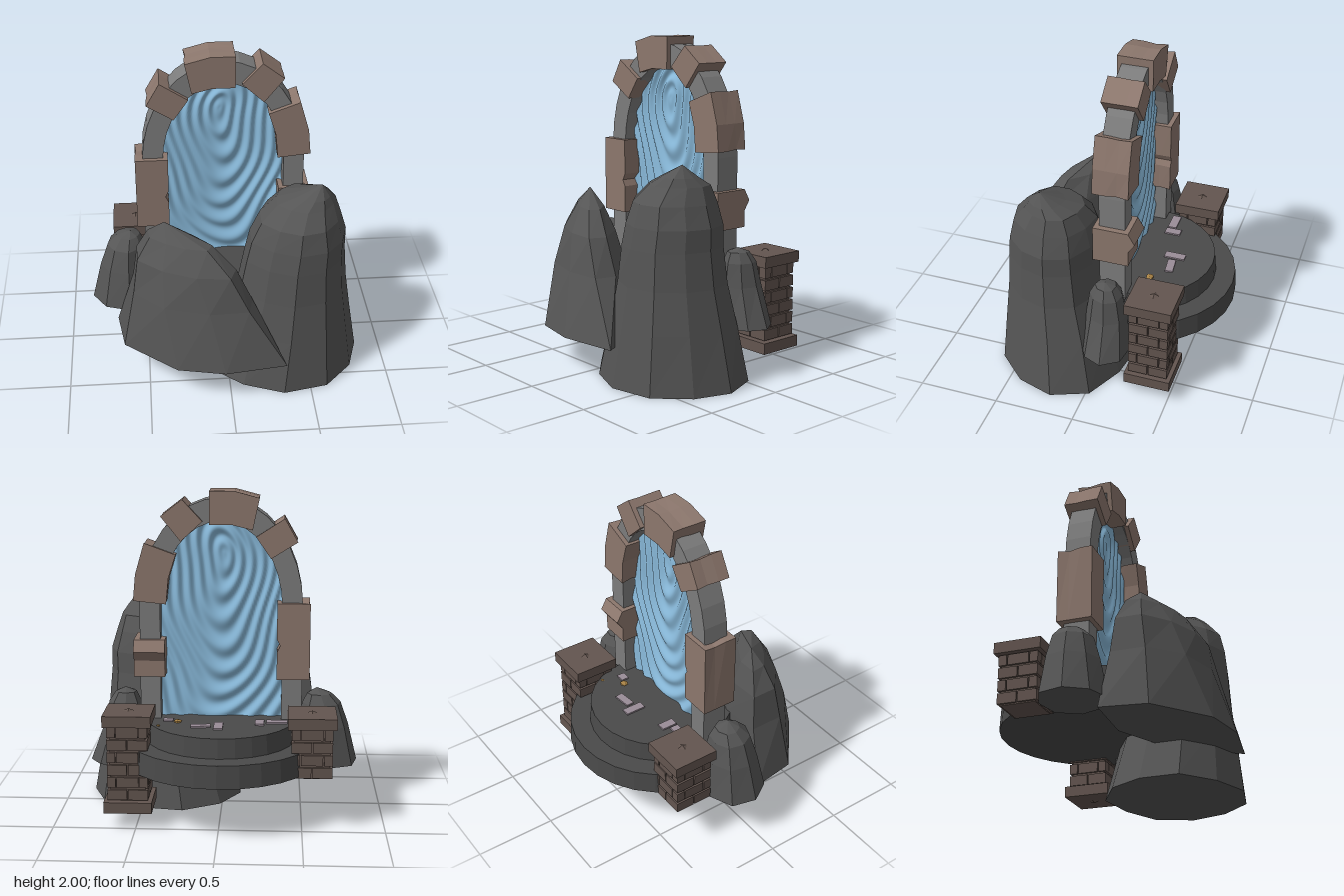
import * as THREE from 'three';

const material = (color, extra = {}) =>
  new THREE.MeshStandardMaterial({ color, flatShading: true, ...extra });
const ROCK = material(0x555555), FLOOR = material(0x4a4a4a), STONE = material(0x7c7c7c);
const BROWN = material(0x8c776d), BRICK = material(0x63554f);
const PAPER = material(0x9a8d98), GOLD = material(0xa88245);
const WATER = material(0x8abbdc, { flatShading: false, side: THREE.DoubleSide });

function add(parent, name, geometry, mat, x = 0, y = 0, z = 0) {
  const mesh = new THREE.Mesh(geometry, mat);
  mesh.name = name;
  mesh.position.set(x, y, z);
  parent.add(mesh);
  return mesh;
}

// Skin closed rings of [x, z] points, counter-clockwise from above, up to a tip
function rockGeometry(rings, tip) {
  const n = rings[0].points.length, pos = [], index = [];
  for (const { y, points } of rings) for (const [x, z] of points) pos.push(x, y, z);
  const tipId = pos.length / 3, baseId = tipId + 1, last = (rings.length - 1) * n;
  const base = rings[0].points;
  pos.push(...tip);
  pos.push(base.reduce((s, p) => s + p[0], 0) / n, rings[0].y, base.reduce((s, p) => s + p[1], 0) / n);
  for (let i = 0; i < n; i++) {
    const j = (i + 1) % n;
    for (let r = 0; r < last; r += n) index.push(r + i, r + j, r + n + j, r + i, r + n + j, r + n + i);
    index.push(tipId, last + i, last + j, baseId, j, i);
  }
  const g = new THREE.BufferGeometry();
  g.setAttribute('position', new THREE.Float32BufferAttribute(pos, 3));
  g.setIndex(index);
  g.computeVertexNormals();
  return g;
}

// Rough oval ring filling the range x0..x1, z0..z1
function oval([y, x0, x1, z0, z1], sides) {
  const points = [];
  for (let i = 0; i < sides; i++) {
    const a = (i + 0.15) / sides * Math.PI * 2, k = 1 + 0.04 * Math.sin(i * 2.4);
    points.push([(x0 + x1) / 2 + (x1 - x0) / 2 * k * Math.cos(a),
      (z0 + z1) / 2 - (z1 - z0) / 2 * k * Math.sin(a)]);
  }
  return { y, points };
}

// Arch outline: straight legs with an elliptical head
function archPoints(halfWidth, rise, foot, segments = 16) {
  const points = [new THREE.Vector2(halfWidth, foot)];
  for (let i = 0; i <= segments; i++) {
    const a = i / segments * Math.PI;
    points.push(new THREE.Vector2(halfWidth * Math.cos(a), 1.3 + rise * Math.sin(a)));
  }
  points.push(new THREE.Vector2(-halfWidth, foot));
  return points;
}

// Arch stone from its front corners, slightly worn halfway through its depth
function stoneBlock(corners) {
  const shape = new THREE.Shape(corners.map(([x, y]) => new THREE.Vector2(x, y)));
  const g = new THREE.ExtrudeGeometry(shape, { depth: 0.22, steps: 3, bevelEnabled: false });
  const p = g.attributes.position;
  for (let i = 0; i < p.count; i++) {
    const z = p.getZ(i);
    if (z < 0.01 || z > 0.1) continue;
    const cx = corners.reduce((s, c) => s + c[0], 0) / corners.length;
    const cy = corners.reduce((s, c) => s + c[1], 0) / corners.length;
    const k = 0.97 + 0.03 * Math.sin(p.getX(i) * 23 + p.getY(i) * 31);
    p.setXY(i, cx + (p.getX(i) - cx) * k, cy + (p.getY(i) - cy) * k);
  }
  g.computeVertexNormals();
  return g;
}

function buildArch() {
  const arch = new THREE.Group();
  arch.name = 'arch';
  const ring = new THREE.Shape([...archPoints(0.495, 0.66, 0.58), ...archPoints(0.37, 0.52, 0.58).reverse()]);
  add(arch, 'archRing', new THREE.ExtrudeGeometry(ring, { depth: 0.16, bevelEnabled: false }), STONE, 0, 0, -0.17);
  const blocks = [
    [[-0.54, 0.86], [-0.34, 0.86], [-0.34, 1.03], [-0.36, 1.07], [-0.34, 1.11], [-0.34, 1.33], [-0.54, 1.33]],
    [[-0.46, 1.7], [-0.3, 1.6], [-0.21, 1.73], [-0.38, 1.84]],
    [[-0.19, 1.77], [-0.07, 1.8], [0.07, 1.8], [0.07, 2], [-0.08, 2], [-0.23, 1.96]],
    [[0.11, 1.82], [0.24, 1.7], [0.36, 1.85], [0.23, 1.95]],
    [[0.33, 1.32], [0.53, 1.34], [0.515, 1.5], [0.46, 1.69], [0.27, 1.62], [0.315, 1.48]],
  ];
  for (const corners of blocks) add(arch, 'archBlock', stoneBlock(corners), BROWN, 0, 0, -0.2);
  // Chipped block on the lower leg, profiled from the side
  const side = new THREE.Shape([[-0.02, 0.87], [0.2, 0.87], [0.2, 0.97], [0.24, 1.03], [0.2, 1.1], [-0.02, 1.1]]
    .map(([x, y]) => new THREE.Vector2(x, y)));
  const chipped = new THREE.ExtrudeGeometry(side, { depth: 0.19, bevelEnabled: false });
  add(arch, 'chippedBlock', chipped, BROWN, 0.34).rotation.y = Math.PI / 2;
  return arch;
}

// Rippling sheet fitted to the arch opening
function waterGeometry() {
  const g = new THREE.PlaneGeometry(2, 1, 72, 130), p = g.attributes.position;
  for (let i = 0; i < p.count; i++) {
    const y = 0.58 + (p.getY(i) + 0.5) * 1.25;
    const t = Math.min(1, Math.max(0, (y - 1.3) / 0.53));
    const x = p.getX(i) * 0.38 * Math.sqrt(1 - t * t);
    const dy = y - 1.62;
    const d = Math.hypot(x * 1.5 + 0.03 * Math.sin(y * 9), dy * (dy < 0 ? 0.6 : 0.95));
    p.setXYZ(i, x, y, 0.011 * Math.sin(d * 70 + 1.2 * Math.sin(x * 9 + y * 5)) * Math.min(1, d * 10));
  }
  g.computeVertexNormals();
  return g;
}

// Brick pillar hanging down from its cap, with an optional foot slab
function buildPillar(x, courses, foot) {
  const pillar = new THREE.Group();
  pillar.name = 'brickPillar';
  pillar.position.set(x, 0, -0.37);
  const slab = y => {
    add(pillar, 'slab', new THREE.BoxGeometry(0.29, 0.068, 0.29), BRICK, 0, y);
    const stud = add(pillar, 'stud', new THREE.OctahedronGeometry(0.035), BRICK, 0, y + (y > 0.5 ? 0.033 : -0.033));
    stud.scale.y = 0.4;
  };
  const pitch = 0.0775, height = courses * pitch;
  slab(0.67);
  add(pillar, 'core', new THREE.BoxGeometry(0.215, height, 0.215), BRICK, 0, 0.636 - height / 2);
  const layouts = [[[-0.097, 0.05], [0, 0.13], [0.097, 0.05]], [[-0.063, 0.118], [0.063, 0.118]]];
  for (let c = 0; c < courses; c++) {
    const row = layouts[c % 2];
    for (const [bx, w] of row) for (const [bz, d] of row)
      if (bx || bz) add(pillar, 'brick', new THREE.BoxGeometry(w, 0.064, d), BRICK, bx, 0.636 - (c + 0.5) * pitch, bz);
  }
  if (foot) slab(0.134);
  return pillar;
}

export function createModel() {
  const model = new THREE.Group();
  model.name = 'rockyPortal';

  // Stepped round platform
  add(model, 'lowerStep', new THREE.CylinderGeometry(0.59, 0.597, 0.14, 28), FLOOR, 0, 0.41, -0.135);
  add(model, 'upperStep', new THREE.CylinderGeometry(0.455, 0.467, 0.13, 28), FLOOR, 0, 0.535, -0.135);

  model.add(buildArch());
  add(model, 'water', waterGeometry(), WATER, 0, 0, -0.09);
  model.add(buildPillar(0.545, 6, true), buildPillar(-0.555, 4, false));

  // Large front rock
  const tall = [[0, -0.13, 0.85, -0.18, 0.66], [0.35, -0.01, 0.79, -0.1, 0.62], [0.6, 0.06, 0.75, -0.03, 0.59],
    [0.82, 0.1, 0.73, 0, 0.575], [0.95, 0.13, 0.73, 0.01, 0.56], [1.08, 0.19, 0.69, 0.04, 0.53],
    [1.18, 0.29, 0.655, 0.1, 0.45], [1.23, 0.4, 0.62, 0.2, 0.41]];
  add(model, 'tallRock', rockGeometry(tall.map(r => oval(r, 11)), [0.56, 1.305, 0.33]), ROCK);

  // Slanting front rock
  const slanted = [
    { y: 0.23, points: [[-0.69, 0.12], [-0.65, 0.4], [-0.33, 0.67], [-0.04, 0.73], [0.34, 0.68], [0.2, 0.46], [0.05, 0.27], [-0.3, 0.1]] },
    { y: 0.6, points: [[-0.58, 0.15], [-0.58, 0.36], [-0.4, 0.54], [-0.13, 0.62], [0.11, 0.61], [0.14, 0.48], [0, 0.28], [-0.33, 0.13]] },
    { y: 0.82, points: [[-0.55, 0.17], [-0.55, 0.33], [-0.4, 0.46], [-0.2, 0.55], [0, 0.57], [0.04, 0.47], [-0.1, 0.29], [-0.35, 0.16]] },
    { y: 0.96, points: [[-0.48, 0.21], [-0.47, 0.3], [-0.37, 0.38], [-0.26, 0.44], [-0.13, 0.47], [-0.1, 0.41], [-0.2, 0.3], [-0.36, 0.21]] },
  ];
  add(model, 'slantedRock', rockGeometry(slanted, [-0.38, 1.05, 0.27]), ROCK);

  // Small side rocks
  const smallLeft = [[0.31, -0.85, -0.42, -0.25, 0.15], [0.55, -0.79, -0.47, -0.22, 0.1],
    [0.69, -0.74, -0.5, -0.19, 0.06], [0.75, -0.68, -0.53, -0.15, 0]];
  add(model, 'smallRock', rockGeometry(smallLeft.map(r => oval(r, 8)), [-0.59, 0.78, -0.06]), ROCK);
  const smallRight = [[0.31, 0.42, 0.82, -0.25, 0.06], [0.55, 0.47, 0.73, -0.22, 0.03],
    [0.69, 0.5, 0.7, -0.19, 0.01], [0.75, 0.53, 0.66, -0.15, -0.02]];
  add(model, 'smallRock', rockGeometry(smallRight.map(r => oval(r, 8)), [0.6, 0.775, -0.08]), ROCK);

  // Loose scraps and nuggets on the platform: x, z, width, depth, turn
  const scraps = [[-0.345, -0.24, 0.13, 0.055, 0], [-0.24, -0.26, 0.055, 0.1, 0], [0.008, -0.345, 0.055, 0.13, 0],
    [0.115, -0.345, 0.12, 0.05, 0.1], [0.32, -0.225, 0.06, 0.05, 0]];
  for (const [x, z, w, d, turn] of scraps)
    add(model, 'scrap', new THREE.BoxGeometry(w, 0.012, d), PAPER, x, 0.604, z).rotation.y = turn;
  for (const [x, z, r] of [[0.26, -0.255, 0.027], [0.37, -0.35, 0.012]])
    add(model, 'nugget', new THREE.IcosahedronGeometry(r), GOLD, x, 0.605, z).scale.y = 0.5;

  return model;
}
